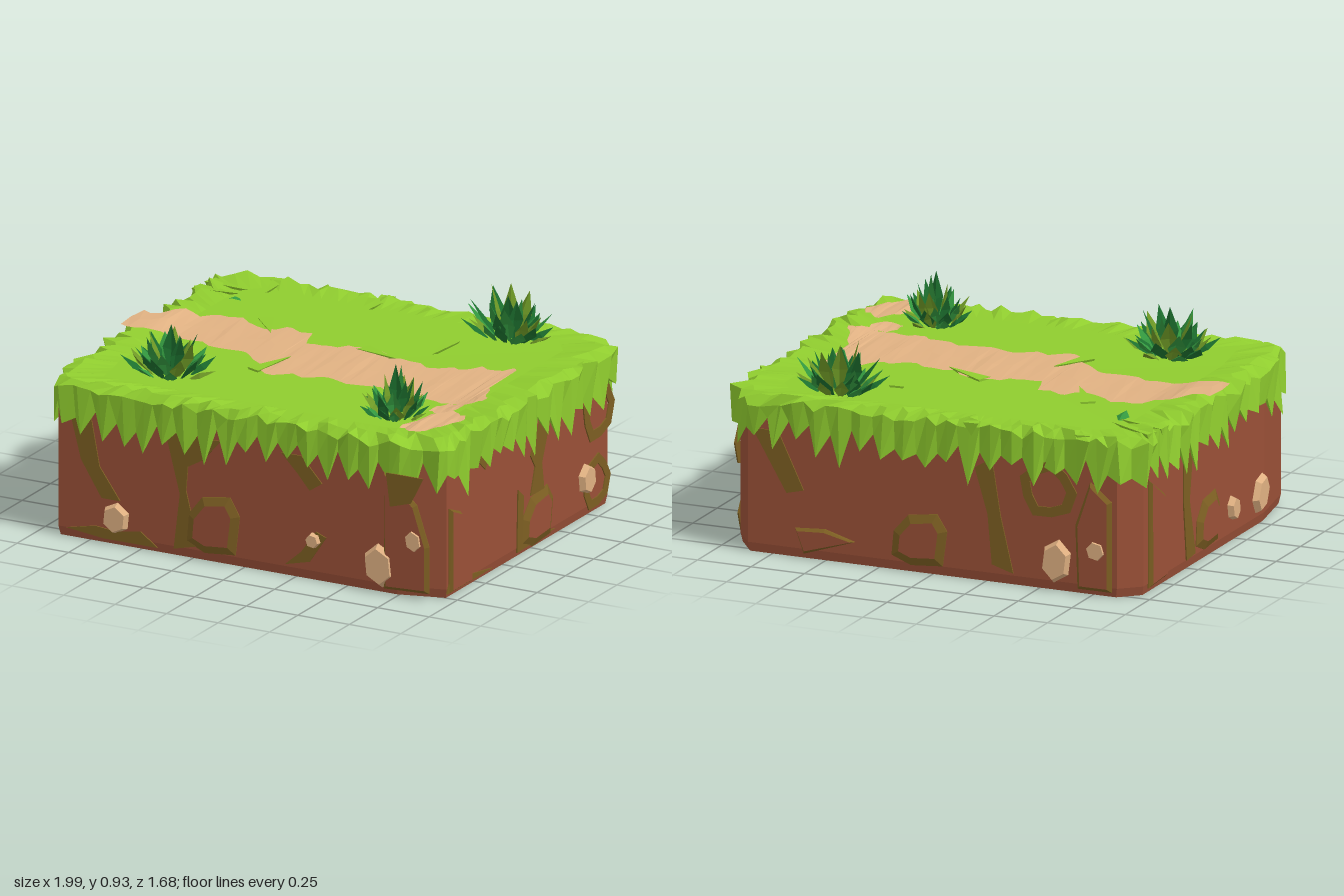
import * as THREE from 'three';

const paint = (name, color, side = THREE.FrontSide) => {
  const m = new THREE.MeshStandardMaterial({ color, flatShading: true, side });
  m.name = name;
  return m;
};

// Seeded random numbers
let seed = 7;
const rnd = (a, b) => {
  seed = (seed * 16807) % 2147483647;
  return a + (b - a) * (seed / 2147483647);
};

// Evenly spaced points round the block's chamfered outline, as [x, z]
const corners = [[-0.92, 0.83], [0.76, 0.83], [0.97, 0.77], [0.97, -0.68],
  [0.88, -0.8], [-0.88, -0.8], [-0.97, -0.72], [-0.97, 0.55]];
function outline(step) {
  const out = [];
  corners.forEach(([x, z], i) => {
    const [x2, z2] = corners[(i + 1) % corners.length];
    const n = Math.max(1, Math.round(Math.hypot(x2 - x, z2 - z) / step));
    for (let k = 0; k < n; k++) out.push([x + (x2 - x) * k / n, z + (z2 - z) * k / n]);
  });
  return out;
}

// Joins rings of [x, y, z] points, listed from the bottom up
function loft(rings) {
  const n = rings[0].length, index = [];
  for (let r = 0; r < rings.length - 1; r++) {
    for (let j = 0; j < n; j++) {
      const a = r * n + j, b = r * n + (j + 1) % n;
      index.push(a, b, b + n, a, b + n, a + n);
    }
  }
  const g = new THREE.BufferGeometry();
  g.setAttribute('position', new THREE.Float32BufferAttribute(rings.flat(2), 3));
  g.setIndex(index);
  const flat = g.toNonIndexed();
  flat.computeVertexNormals();
  return flat;
}

export function createModel() {
  seed = 7;
  const model = new THREE.Group();
  const soil = paint('soil brown', 0x9a5037);
  const moss = paint('moss olive', 0x7c5e22);
  const sand = paint('sandstone tan', 0xe0b182, THREE.DoubleSide);
  const grass = paint('grass green', 0x8fcc2e);
  const leafMats = [
    paint('leaf dark green', 0x1c6f2e, THREE.DoubleSide),
    paint('leaf green', 0x33983f, THREE.DoubleSide),
    paint('leaf olive', 0x6f9a26, THREE.DoubleSide),
  ];
  const add = (parent, name, geo, mat) => {
    const m = new THREE.Mesh(geo, mat);
    m.name = name;
    parent.add(m);
    return m;
  };

  // Soil block with a closed underside
  const base = outline(0.4);
  const ring = (s, y) => base.map(([x, z]) => [x * s, y, z * s]);
  add(model, 'soilBlock', loft([ring(0, 0), ring(0.972, 0), ring(0.98, 0.04), ring(0.98, 0.66), ring(0, 0.66)]), soil);

  // Grass cap: underside, ragged hanging blades, lip and slightly sunken lawn
  const edge = outline(0.05);
  const rings = [[], [], [], [], [], []];
  edge.forEach(([x, z], j) => {
    const tip = j % 2;
    const put = (r, s, y) => rings[r].push([x * s, y, z * s]);
    put(0, 0.95, 0.62);
    put(1, tip ? rnd(0.998, 1.02) : rnd(0.984, 0.992), tip ? rnd(0.42, 0.54) : rnd(0.52, 0.61));
    put(2, rnd(0.983, 1.03), rnd(0.655, 0.705));
    put(3, tip ? rnd(0.945, 0.98) : rnd(0.89, 0.97), rnd(0.694, 0.72));
    put(4, 0.82, 0.694);
    put(5, 0, 0.69);
  });
  add(model, 'grassCap', loft(rings), grass);

  // Sandy path: a frayed strip of [x, back z, front z] sections, rising near the rim
  const strip = (name, sections) => {
    const pos = [], index = [];
    const frayed = sections.flatMap(([x, a, b], i) => {
      if (!i) return [[x, a, b]];
      const [px, pa, pb] = sections[i - 1];
      return [[(x + px) / 2, (a + pa) / 2 + rnd(-0.025, 0.025), (b + pb) / 2 + rnd(-0.025, 0.025)], [x, a, b]];
    });
    frayed.forEach(([x, z1, z2], i) => {
      const y = 0.699 + 0.025 * THREE.MathUtils.smoothstep(Math.max(Math.abs(x), z2 + 0.1), 0.72, 0.87);
      pos.push(x, y, z1, x + rnd(-0.01, 0.01), y + rnd(0, 0.005), (z1 + z2) / 2, x, y, z2);
      if (i) {
        const a = 3 * i - 3;
        for (const k of [a, a + 1]) index.push(k, k + 1, k + 4, k, k + 4, k + 3);
      }
    });
    const g = new THREE.BufferGeometry();
    g.setAttribute('position', new THREE.Float32BufferAttribute(pos, 3));
    g.setIndex(index);
    g.computeVertexNormals();
    add(model, name, g, sand);
  };
  strip('path', [[-0.98, -0.09, 0.12], [-0.9, -0.09, 0.13], [-0.84, -0.2, 0.11], [-0.76, -0.18, 0.1],
    [-0.7, -0.25, 0.1], [-0.6, -0.27, 0.09], [-0.5, -0.2, 0.13], [-0.4, -0.2, 0.12], [-0.35, -0.25, 0.14],
    [-0.24, -0.23, 0.23], [-0.2, -0.1, 0.3], [-0.13, -0.11, 0.33], [-0.06, -0.12, 0.27], [0, -0.16, 0.3],
    [0.07, -0.14, 0.25], [0.12, -0.17, 0.25], [0.2, -0.1, 0.28], [0.3, -0.11, 0.26], [0.4, -0.07, 0.28],
    [0.5, -0.13, 0.28], [0.56, -0.13, 0.31], [0.6, -0.2, 0.29], [0.68, -0.18, 0.31], [0.73, -0.24, 0.3],
    [0.76, -0.21, 0.33], [0.77, 0.05, 0.31], [0.82, 0.17, 0.29], [0.85, 0.21, 0.26]]);
  strip('sandLink', [[0.68, 0.35, 0.42], [0.71, 0.3, 0.43], [0.77, 0.29, 0.43], [0.79, 0.3, 0.38]]);
  strip('sandPatch', [[0.7, 0.66, 0.72], [0.74, 0.5, 0.73], [0.78, 0.46, 0.74], [0.82, 0.43, 0.7],
    [0.86, 0.47, 0.64], [0.9, 0.5, 0.54]]);

  // Each side face gets a group whose local x, y plane lies on the soil
  const sideGroup = (name, x, z, turn) => {
    const g = new THREE.Group();
    g.name = name;
    g.position.set(x, 0, z);
    g.rotation.y = turn;
    model.add(g);
    return g;
  };
  const front = sideGroup('frontDetails', 0, 0.813, 0);
  const left = sideGroup('leftDetails', 0.95, 0, Math.PI / 2);
  const back = sideGroup('backDetails', 0, -0.784, Math.PI);
  const right = sideGroup('rightDetails', -0.95, 0, -Math.PI / 2);

  const shape = pts => new THREE.Shape(pts.map(p => new THREE.Vector2(...p)));
  const mossPatch = (side, pts) =>
    add(side, 'mossPatch', new THREE.ExtrudeGeometry(shape(pts), { depth: 0.006, bevelEnabled: false }), moss);
  // Raised soil slab with mossy bevelled edges
  const slab = (side, pts, bevel = 0.016) =>
    add(side, 'soilSlab', new THREE.ExtrudeGeometry(shape(pts), {
      depth: 0.004, bevelSize: bevel, bevelOffset: -bevel, bevelThickness: 0.016, bevelSegments: 1 }), [soil, moss]);
  const boulder = (side, x, y, w, h) => slab(side, [[-0.5, -0.35], [-0.15, -0.5], [0.42, -0.45], [0.5, 0.2],
    [0.32, 0.5], [-0.2, 0.42], [-0.46, 0.1]].map(([u, v]) => [x + u * w, y + v * h]), 0.036);
  // Embedded stone with a broad flat face
  const stone = (side, x, y, w, h) => {
    const m = add(side, 'stone', new THREE.CylinderGeometry(0.36, 0.5, 1, 6).rotateX(Math.PI / 2), sand);
    m.position.set(x, y, 0.005);
    m.scale.set(w, h, 0.045);
    m.rotation.z = rnd(-0.4, 0.4);
  };
  // Mossy frame around a bare patch of soil
  const mossRing = (side, x, y, w, h) => {
    const blob = k => Array.from({ length: 9 }, (_, i) => {
      const a = i / 9 * Math.PI * 2, r = k * (i % 2 ? 0.46 : 0.53);
      return [x + Math.cos(a) * w * r, y + Math.sin(a) * h * r];
    });
    const s = shape(blob(1));
    s.holes.push(new THREE.Path(blob(0.64).map(p => new THREE.Vector2(...p))));
    add(side, 'mossRing', new THREE.ExtrudeGeometry(s, { depth: 0.006, bevelEnabled: false }), moss);
  };

  // Front face
  mossPatch(front, [[-0.86, 0.04], [-0.68, 0.02], [-0.42, 0.02], [-0.5, 0.08], [-0.62, 0.06], [-0.72, 0.07]]);
  mossPatch(front, [[-0.84, 0.55], [-0.74, 0.55], [-0.7, 0.34], [-0.6, 0.2], [-0.69, 0.2], [-0.79, 0.36]]);
  mossPatch(front, [[-0.38, 0.55], [-0.26, 0.55], [-0.28, 0.3], [-0.22, 0.06], [-0.34, 0.03], [-0.31, 0.28]]);
  mossPatch(front, [[-0.27, 0.55], [-0.11, 0.55], [-0.2, 0.45], [-0.27, 0.41]]);
  mossPatch(front, [[0.18, 0.55], [0.28, 0.55], [0.38, 0.44], [0.32, 0.4], [0.26, 0.47]]);
  mossPatch(front, [[0.2, 0.05], [0.32, 0.08], [0.4, 0.2], [0.35, 0.22], [0.28, 0.12]]);
  slab(front, [[0.68, 0.02], [0.9, 0.03], [0.9, 0.24], [0.84, 0.42], [0.68, 0.56]]);
  mossPatch(front, [[0.7, 0.55], [0.88, 0.55], [0.82, 0.43], [0.72, 0.4]]).position.z = 0.018;
  boulder(front, -0.15, 0.17, 0.26, 0.27);
  stone(front, -0.62, 0.12, 0.15, 0.16);
  stone(front, 0.34, 0.18, 0.08, 0.08);
  stone(front, 0.66, 0.12, 0.18, 0.22);
  stone(front, 0.83, 0.26, 0.1, 0.12);

  // Left face (+x)
  mossPatch(left, [[-0.76, 0.02], [-0.36, 0.02], [-0.55, 0.05], [-0.74, 0.06]]);
  mossPatch(left, [[-0.02, 0.42], [0.06, 0.55], [0.16, 0.55], [0.08, 0.36], [0.1, 0.24], [-0.02, 0.24], [0.02, 0.36]]);
  mossPatch(left, [[-0.14, 0.02], [-0.13, 0.3], [-0.08, 0.26], [-0.09, 0.06], [0.2, 0.03]]);
  mossPatch(left, [[-0.5, 0.55], [-0.38, 0.55], [-0.42, 0.48]]);
  mossRing(left, 0.58, 0.45, 0.27, 0.28);
  mossRing(left, 0.56, 0.13, 0.24, 0.24);
  slab(left, [[-0.74, 0.02], [-0.55, 0.02], [-0.56, 0.22], [-0.64, 0.36], [-0.74, 0.4]], 0.012);
  boulder(left, 0.04, 0.13, 0.28, 0.24);
  stone(left, 0.47, 0.17, 0.14, 0.16);

  // Back face
  mossPatch(back, [[-0.84, 0.55], [-0.72, 0.55], [-0.6, 0.3], [-0.68, 0.28]]);
  mossPatch(back, [[0.2, 0.5], [0.28, 0.55], [0.32, 0.3], [0.38, 0.05], [0.28, 0.08], [0.26, 0.3]]);
  mossRing(back, 0.54, 0.44, 0.26, 0.26);
  slab(back, [[0.68, 0.02], [0.84, 0.02], [0.84, 0.42], [0.74, 0.5], [0.67, 0.3]]);
  slab(back, [[-0.6, 0.02], [-0.36, 0.1], [-0.5, 0.14], [-0.64, 0.13]], 0.012);
  boulder(back, -0.06, 0.15, 0.26, 0.24);
  stone(back, 0.58, 0.13, 0.16, 0.22);
  stone(back, 0.77, 0.2, 0.11, 0.11);

  // Right face (-x)
  mossPatch(right, [[-0.3, 0.55], [-0.2, 0.55], [-0.24, 0.3], [-0.18, 0.05], [-0.27, 0.04], [-0.3, 0.3]]);
  slab(right, [[-0.66, 0.02], [-0.48, 0.03], [-0.5, 0.4], [-0.66, 0.5]]);
  boulder(right, -0.05, 0.16, 0.24, 0.24);
  stone(right, 0.2, 0.15, 0.1, 0.13);
  stone(right, 0.48, 0.14, 0.14, 0.2);

  // Leaf: a pointed blade folded along its midrib, growing along +y
  const leafGeo = new THREE.BufferGeometry();
  leafGeo.setAttribute('position', new THREE.Float32BufferAttribute(
    [0, 0, 0, -0.5, 0.55, 0.12, 0, 0.5, -0.12, 0, 1, 0.08, 0.5, 0.55, 0.12], 3));
  leafGeo.setIndex([0, 2, 1, 1, 2, 3, 0, 4, 2, 2, 4, 3]);
  leafGeo.computeVertexNormals();
  const leaf = (parent, x, y, z, turn, tilt, len, wide, mat) => {
    const m = add(parent, 'leaf', leafGeo, mat);
    m.position.set(x, y, z);
    m.rotation.set(tilt, turn, 0, 'YXZ');
    m.scale.set(wide, len, wide);
  };
  // Bushes: tall leaves in the middle, splayed leaves outside
  for (const [x, z, rx, rz, top] of [[-0.53, 0.51, 0.22, 0.19, 0.26], [0.58, 0.53, 0.17, 0.18, 0.25],
    [0.52, -0.59, 0.22, 0.15, 0.28]]) {
    const bush = new THREE.Group();
    bush.name = 'bush';
    bush.position.set(x, 0.68, z);
    bush.scale.set(rx / 0.25, 1, rz / 0.25);
    model.add(bush);
    const count = 34;
    for (let i = 0; i < count; i++) {
      const t = Math.sqrt(i / count), a = i * 2.4;
      leaf(bush, Math.sin(a) * 0.1 * t, 0, Math.cos(a) * 0.1 * t, a + rnd(-0.3, 0.3),
        t * 1.1 + rnd(-0.15, 0.15), top * (1 - 0.35 * t) * rnd(0.75, 1.05),
        rnd(0.07, 0.1), leafMats[[0, 1, 2, 0, 2, 1, 0][i % 7]]);
    }
  }
  // Lone sprout and low grass tufts
  leaf(model, -0.74, 0.69, -0.5, 0, 1.2, 0.09, 0.06, leafMats[1]);
  const blade = new THREE.ConeGeometry(0.04, 0.22, 3);
  for (const [x, z, turn] of [[-0.86, -0.52, 1.5], [-0.85, -0.6, 1.3], [-0.68, -0.68, 0.2], [-0.18, -0.7, 0.1],
    [0.34, -0.32, 0.1], [-0.2, 0.2, 2.8], [-0.45, -0.22, 0.6], [0.14, -0.13, 1.2]]) {
    const m = add(model, 'grassTuft', blade, grass);
    m.position.set(x, 0.695, z);
    m.rotation.set(1.45, turn, 0, 'YXZ');
  }
  return model;
}
